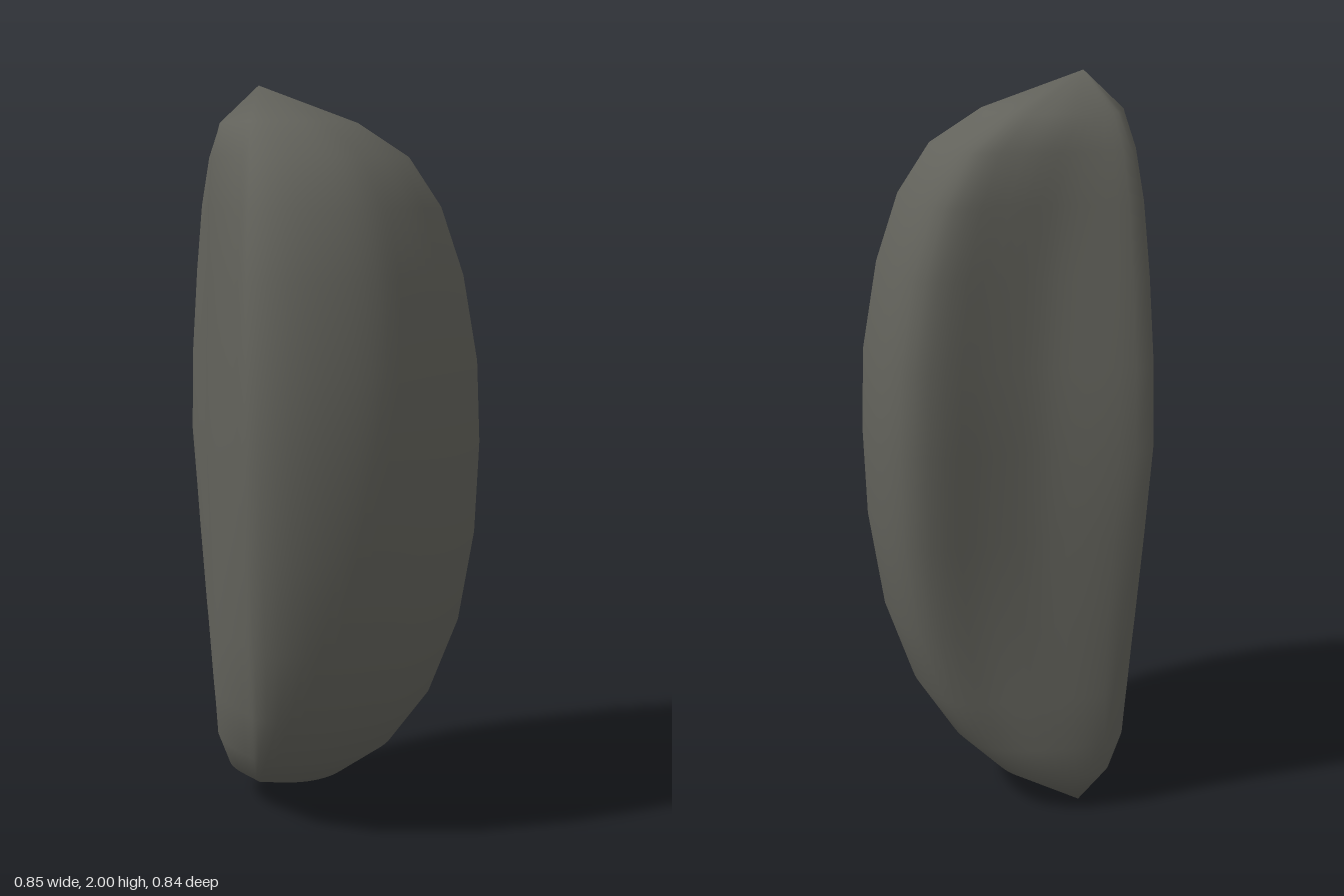
import * as THREE from 'three';

// Middle cross-section [x, z], clockwise from the back ridge seen from above
const SECTION = [
  [-0.18, -0.422], [-0.11, -0.395], [0, -0.325], [0.06, -0.29], [0.15, -0.262], [0.24, -0.243],
  [0.32, -0.23], [0.39, -0.197], [0.418, -0.13], [0.42, -0.05], [0.408, 0.02], [0.372, 0.15],
  [0.333, 0.225], [0.285, 0.287], [0.15, 0.362], [0, 0.407], [-0.1, 0.422], [-0.2, 0.405],
  [-0.33, 0.348], [-0.395, 0.293], [-0.424, 0.232], [-0.398, 0.15], [-0.355, 0], [-0.325, -0.1],
  [-0.297, -0.17], [-0.265, -0.22], [-0.252, -0.29], [-0.218, -0.375],
];

// Each ring: y, xMin, xMax, zMin, zMax, roundness (0 = section, 1 = ellipse)
const RINGS = [
  [0.1, -0.23, 0.11, -0.32, 0.05, 0.75],
  [0.2, -0.3, 0.21, -0.35, 0.19, 0.6],
  [0.345, -0.35, 0.3, -0.357, 0.29, 0.42],
  [0.55, -0.39, 0.37, -0.373, 0.365, 0.22],
  [0.8, -0.413, 0.41, -0.398, 0.407, 0.08],
  [1.05, -0.424, 0.422, -0.422, 0.422, 0],
  [1.27, -0.418, 0.416, -0.418, 0.41, 0],
  [1.5, -0.4, 0.377, -0.395, 0.372, 0.06],
  [1.68, -0.37, 0.32, -0.375, 0.313, 0.2],
  [1.81, -0.33, 0.24, -0.342, 0.23, 0.4],
  [1.9, -0.27, 0.115, -0.29, 0.1, 0.65],
];

export function createModel() {
  const stone = new THREE.MeshStandardMaterial({ color: 0x62625b });
  stone.name = 'darkGrey';

  // Section scaled to the range -1..1 on both axes
  const N = 64;
  const curve = new THREE.CatmullRomCurve3(SECTION.map(([x, z]) => new THREE.Vector3(x, 0, z)), true);
  const outline = curve.getSpacedPoints(N).slice(0, N);
  const box = new THREE.Box3().setFromPoints(outline);
  const centre = box.getCenter(new THREE.Vector3());
  const size = box.getSize(new THREE.Vector3());
  const unit = outline.map((p) => new THREE.Vector2(
    (2 * (p.x - centre.x)) / size.x,
    (2 * (p.z - centre.z)) / size.z,
  ));

  // Fit the section into each ring, rounding it off towards the tips
  const positions = [];
  for (const [y, x0, x1, z0, z1, round] of RINGS) {
    for (const p of unit) {
      const q = p.clone().lerp(p.clone().normalize(), round);
      positions.push((x0 + x1) / 2 + (q.x * (x1 - x0)) / 2, y, (z0 + z1) / 2 + (q.y * (z1 - z0)) / 2);
    }
  }
  const bottom = RINGS.length * N;
  const top = bottom + 1;
  positions.push(-0.08, 0, -0.25, -0.125, 2, -0.16);

  const index = [];
  const last = (RINGS.length - 1) * N;
  for (let j = 0; j < N; j++) {
    const k = (j + 1) % N;
    for (let r = 0; r < last; r += N) {
      index.push(r + k, r + j, r + N + j, r + k, r + N + j, r + N + k);
    }
    index.push(bottom, j, k);
    index.push(last + k, last + j, top);
  }

  const geometry = new THREE.BufferGeometry();
  geometry.setAttribute('position', new THREE.Float32BufferAttribute(positions, 3));
  geometry.setIndex(index);
  geometry.computeVertexNormals();

  const body = new THREE.Mesh(geometry, stone);
  body.name = 'seedBody';
  const group = new THREE.Group();
  group.name = 'seed';
  group.add(body);
  return group;
}
